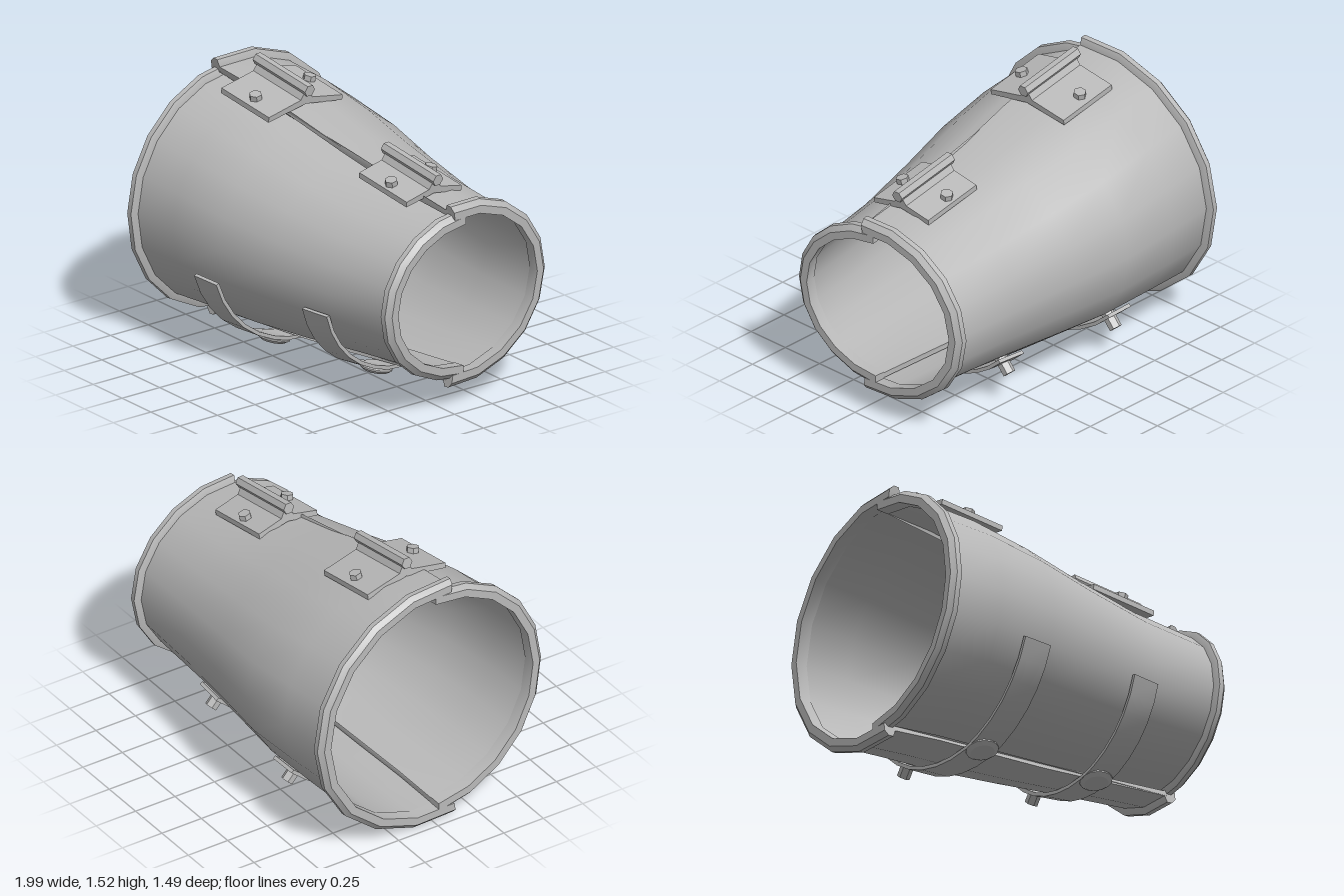
import * as THREE from 'three';
import { toCreasedNormals } from 'three/addons/utils/BufferGeometryUtils.js';

const metal = new THREE.MeshStandardMaterial({ color: 0xb8b8b8 });
metal.name = 'grey metal';

// Stations along the arm: x, back z, front z, top y, bottom y, seam centre z
const STATIONS = [
  [-0.94, -0.71, 0.70, 1.45, 0.045, 0.03],
  [-0.6, -0.745, 0.68, 1.415, 0.07, 0.01],
  [-0.25, -0.75, 0.64, 1.345, 0.085, -0.015],
  [0.1, -0.70, 0.56, 1.265, 0.105, -0.04],
  [0.5, -0.66, 0.475, 1.185, 0.14, -0.07],
  [0.955, -0.645, 0.40, 1.14, 0.175, -0.1],
];
const INSET = 0.045; // the front shell tucks under the back shell
const THICK = 0.03;

function station(u) {
  let i = 0;
  while (i < STATIONS.length - 2 && u > STATIONS[i + 1][0]) i++;
  const a = STATIONS[i], b = STATIONS[i + 1];
  const t = (u - a[0]) / (b[0] - a[0]);
  return a.map((v, k) => v + (b[k] - v) * t);
}

// Point at angle t (0 = top, PI/2 = front), raised by off; rings lean slightly in x
function place(u, off, t, inset) {
  const [, zBack, zFront, top, bottom, cz] = station(u);
  const cy = (top + bottom) / 2;
  const ry = (top - bottom) / 2 - inset + off;
  const rz = (inset === 0 && off < 0.04 && Math.sin(t) < 0.2 ? cz - zBack : zFront - cz) + off;
  const z = cz + rz * Math.sin(t), y = cy + ry * Math.cos(t);
  return new THREE.Vector3(u + 0.068 * z + 0.022 * (y - 0.7), y, z);
}

// Sweeps a closed (u, offset) outline around the arm and caps both ends
function sweep(outline, t0, t1, segs, inset) {
  const loop = outline.map(([u, o]) => new THREE.Vector2(u, o));
  if (THREE.ShapeUtils.isClockWise(loop)) loop.reverse();
  const n = loop.length, pos = [], idx = [];
  for (let i = 0; i <= segs; i++) {
    const t = t0 + (t1 - t0) * i / segs;
    for (const p of loop) pos.push(...place(p.x, p.y, t, inset).toArray());
  }
  for (let i = 0; i < segs; i++) {
    for (let j = 0; j < n; j++) {
      const a = i * n + j, b = i * n + (j + 1) % n;
      idx.push(a, b, b + n, a, b + n, a + n);
    }
  }
  for (const [a, b, c] of THREE.ShapeUtils.triangulateShape(loop, [])) {
    idx.push(a, c, b, segs * n + a, segs * n + b, segs * n + c);
  }
  const geo = new THREE.BufferGeometry();
  geo.setAttribute('position', new THREE.Float32BufferAttribute(pos, 3));
  geo.setIndex(idx);
  return toCreasedNormals(geo, 0.6);
}

function add(parent, name, geo) {
  const mesh = new THREE.Mesh(geo, metal);
  mesh.name = name;
  parent.add(mesh);
  return mesh;
}

function hexBolt(parent, name, radius, height, position, normal) {
  const bolt = add(parent, name, new THREE.CylinderGeometry(radius, radius, height, 6).toNonIndexed());
  bolt.geometry.computeVertexNormals();
  bolt.position.copy(position);
  bolt.quaternion.setFromUnitVectors(new THREE.Vector3(0, 1, 0), normal);
}

const RIM = [[0, -0.034], [0.07, -0.034], [0.07, 0], [0.055, 0.037], [0.025, 0.037], [0, 0.01]];

// Half shell with a bevelled rim at each end
function halfShell(name, t0, t1, inset) {
  const half = new THREE.Group();
  half.name = name;
  const us = STATIONS.map((s) => s[0]);
  const outline = [...us.map((u) => [u, -THICK]), ...us.reverse().map((u) => [u, 0])];
  add(half, name + 'Wall', sweep(outline, t0, t1, 10, inset));
  add(half, name + 'WideRim', sweep(RIM.map(([d, o]) => [-0.95 + d, o]), t0, t1, 10, inset));
  add(half, name + 'NarrowRim', sweep(RIM.map(([d, o]) => [0.965 - d, o]), t0, t1, 10, inset));
  return half;
}

// Folded hinge plate with a hexagonal pin and two bolts
function hinge(x, y, z, halfWidth, drop) {
  const g = new THREE.Group();
  g.name = 'topHinge';
  const w = halfWidth, h = 0.03;
  const shape = new THREE.Shape([
    [-w, -drop], [0, 0], [w, -drop], [w, h - drop], [0.04, h], [0.02, 0.065],
    [-0.02, 0.065], [-0.04, h], [-w, h - drop],
  ].map((p) => new THREE.Vector2(...p)));
  const plate = new THREE.ExtrudeGeometry(shape, { depth: 0.39, bevelEnabled: false });
  plate.translate(0, 0, -0.195).rotateY(-Math.PI / 2);
  add(g, 'hingePlate', plate);
  const pin = new THREE.CylinderGeometry(0.034, 0.034, 0.43, 6).toNonIndexed();
  pin.computeVertexNormals();
  add(g, 'hingePin', pin.rotateZ(Math.PI / 2).translate(0, 0.085, 0));
  for (const s of [-1, 1]) {
    hexBolt(g, 'hingeBolt', 0.035, 0.04,
      new THREE.Vector3(0.01 * s, h + 0.012 - drop * 0.75, s * w * 0.76),
      new THREE.Vector3(0, w, s * drop).normalize());
  }
  g.position.set(x, y, z);
  g.rotation.set(0, 0.05, -0.135);
  return g;
}

// Strap under the arm: front end, round rivet and rear bolt
function strap(u, tFront, tRivet) {
  const g = new THREE.Group();
  g.name = 'strap';
  const lo = 0.008, hi = 0.028, w = 0.085;
  const band = [[u - w, lo], [u + w, lo], [u + w, hi], [u - w, hi]];
  // the rear half follows the larger back shell
  add(g, 'strapFront', sweep(band, tFront, Math.PI, 7, 0));
  add(g, 'strapBack', sweep(band, Math.PI, Math.PI + 0.86, 5, 0));
  const normal = (t) => new THREE.Vector3(0, Math.cos(t), Math.sin(t));
  const rivet = add(g, 'strapRivet', toCreasedNormals(new THREE.LatheGeometry(
    [[0, -0.02], [0.065, -0.02], [0.088, 0], [0.088, 0.008], [0.065, 0.024], [0, 0.026]]
      .map((p) => new THREE.Vector2(...p)), 14), 0.5));
  rivet.position.copy(place(u, hi, tRivet, 0));
  rivet.quaternion.setFromUnitVectors(new THREE.Vector3(0, 1, 0), normal(tRivet));
  const t = Math.PI + 0.73;
  hexBolt(g, 'strapBolt', 0.035, 0.1, place(u, hi + 0.01, t, 0), normal(t));
  return g;
}

export function createModel() {
  const model = new THREE.Group();
  model.name = 'armGuard';
  const lap = 0.148;
  model.add(halfShell('frontShell', 0, Math.PI, INSET));
  model.add(halfShell('backShell', Math.PI - lap, Math.PI * 2 + lap, 0));
  model.add(hinge(-0.49, 1.395, 0, 0.255, 0.045));
  model.add(hinge(0.535, 1.195, -0.065, 0.19, 0.035));
  model.add(strap(-0.355, 1.88, Math.PI - 0.24));
  model.add(strap(0.415, 1.8, Math.PI - 0.22));
  return model;
}
